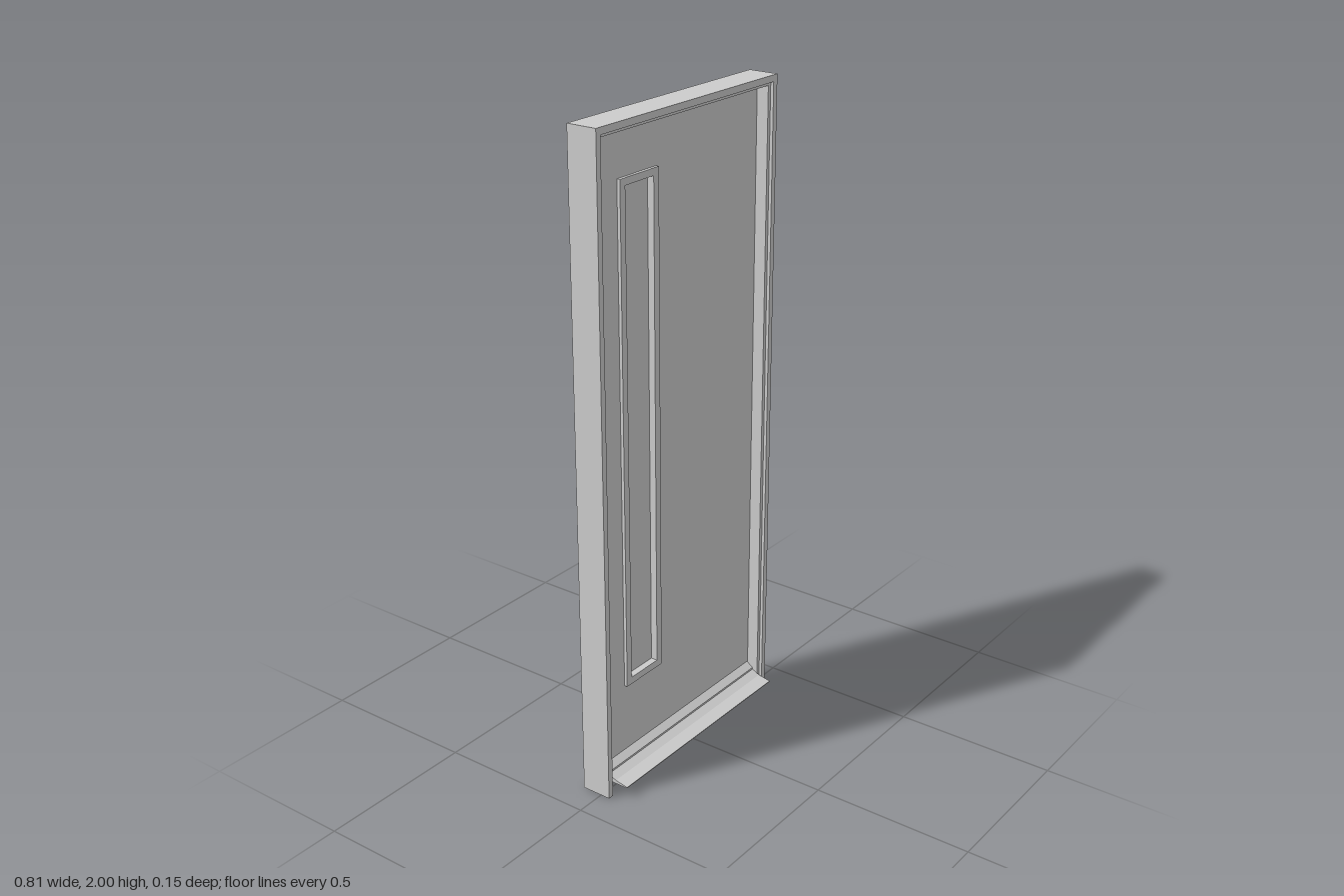
import * as THREE from 'three';

const grey = new THREE.MeshStandardMaterial({ color: 0xcccccc, flatShading: true });

export function createModel() {
  const door = new THREE.Group();
  door.name = 'entryDoor';

  const add = (name, geometry) => {
    const mesh = new THREE.Mesh(geometry, grey);
    mesh.name = name;
    door.add(mesh);
    return mesh;
  };

  // Box given by its limits on each axis
  const block = (name, [x0, x1], [y0, y1], [z0, z1]) => {
    const mesh = add(name, new THREE.BoxGeometry(x1 - x0, y1 - y0, z1 - z0));
    mesh.position.set((x0 + x1) / 2, (y0 + y1) / 2, (z0 + z1) / 2);
  };

  const rect = (Type, [x0, x1], [y0, y1]) => new Type([
    new THREE.Vector2(x0, y0), new THREE.Vector2(x1, y0),
    new THREE.Vector2(x1, y1), new THREE.Vector2(x0, y1),
  ]);

  // Rectangular plate with a rectangular opening
  const plate = (name, outer, opening, [z0, z1]) => {
    const shape = rect(THREE.Shape, ...outer);
    shape.holes.push(rect(THREE.Path, ...opening));
    const geometry = new THREE.ExtrudeGeometry(shape, { depth: z1 - z0, bevelEnabled: false });
    add(name, geometry.translate(0, 0, z0));
  };

  const back = -0.065, front = 0.03, face = -0.018;

  // Frame: two jambs reaching the floor, a head and the door stops
  for (const [side, s] of [['left', 1], ['right', -1]]) {
    const span = (a, b) => [s * a, s * b].sort((p, q) => p - q);
    block(side + 'Jamb', span(0.387, 0.405), [0, 2], [back, front]);
    block(side + 'Stop', span(0.375, 0.387), [0.035, 1.98], [face, 0.02]);
  }
  block('head', [-0.387, 0.387], [1.98, 2], [back, front]);
  block('headStop', [-0.375, 0.375], [1.97, 1.98], [face, 0.02]);

  // Door leaf with a tall narrow window
  const opening = [[-0.243, -0.121], [0.322, 1.812]];
  const trim = [[-0.265, -0.098], [0.3, 1.833]];
  plate('leaf', [[-0.385, 0.385], [0.07, 1.977]], opening, [back, face]);
  plate('frontWindowTrim', trim, opening, [face, face + 0.01]);
  plate('backWindowTrim', trim, opening, [back - 0.01, back]);
  block('glass', ...opening, [-0.054, -0.029]);

  // Sloping sill, extruded along x from its (z, y) section
  const section = new THREE.Shape([
    [back, 0.035], [0.072, 0.035], [0.072, 0.038], [0.03, 0.046],
    [0.004, 0.058], [0.004, 0.064], [face, 0.08], [face, 0.07], [back, 0.07],
  ].map(([z, y]) => new THREE.Vector2(-z, y)));
  const sill = new THREE.ExtrudeGeometry(section, { depth: 0.744, bevelEnabled: false });
  add('sill', sill.translate(0, 0, -0.372).rotateY(Math.PI / 2).scale(1, 1, 1));

  return door;
}
